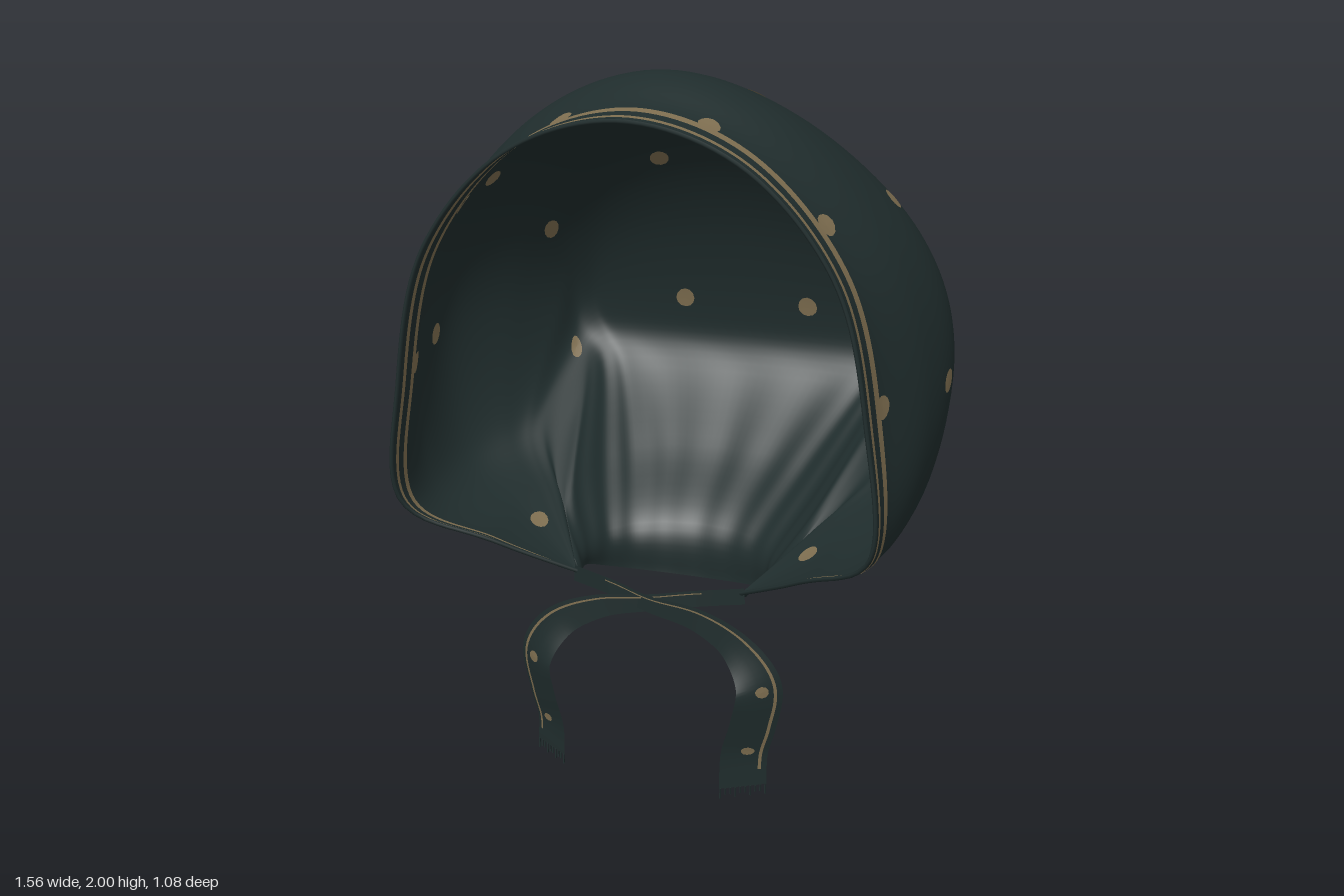
import * as THREE from 'three';

const cloth = new THREE.MeshStandardMaterial({ name: 'dark green cloth', color: 0x1f2c2c, side: THREE.DoubleSide });
const tan = new THREE.MeshStandardMaterial({ name: 'tan print', color: 0x7d6d4f, side: THREE.DoubleSide });

// Arches from knot to knot over the head, ordered face edge -> back -> neck rim:
// lower corner x y z, side x y z, top y z, roundness (1 = ellipse, less = squarer)
const KNOT = [0.25, 0.57, 0.27];
const ARCHES = [
  [.675, .82, .52, .66, 1.15, .53, 1.90, .53, 1],
  [.68, .80, .43, .675, 1.15, .41, 1.925, .41, 1.04],
  [.70, .81, .27, .75, 1.20, .22, 2.00, .22, 1.1],
  [.70, .84, .08, .77, 1.24, 0, 1.94, 0, 1.08],
  [.63, .86, -.08, .67, 1.22, -.25, 1.75, -.28, .9],
  [.59, .87, -.15, .605, 1.17, -.40, 1.50, -.45, .7],
  [.55, .86, -.17, .57, 1.06, -.44, 1.20, -.53, .42],
  [.47, .78, -.08, .49, .96, -.36, 1.02, -.51, .5],
  [.36, .65, .11, .38, .73, -.02, .80, -.31, .75],
  [.28, .58, .20, .29, .59, .11, .62, -.09, .95],
  [.26, .55, .21, .28, .53, .12, .46, -.06, 1],
];
const ROWS = ARCHES.map(([cx, cy, cz, sx, sy, sz, ty, tz, e]) => {
  const corner = [cx, cy, cz];
  const half = [KNOT, KNOT.map((k, i) => (k + corner[i]) / 2 - (i === 1 ? 0.012 : 0)), corner];
  for (let k = 0; k < 4; k++) {
    const a = k * Math.PI / 6, rise = Math.sin(a) ** e;
    half.push([k === 3 ? 0 : sx * Math.cos(a) ** e, sy + (ty - sy) * rise, sz + (tz - sz) * rise]);
  }
  return [...half, ...half.slice(0, -1).reverse().map(([x, y, z]) => [-x, y, z])];
});
const S = ROWS.length - 1, T = ROWS[0].length - 1;

const spline = (a, b, c, d, t) =>
  0.5 * (2 * b + (c - a) * t + (2 * a - 5 * b + 4 * c - d) * t * t + (3 * b - a - 3 * c + d) * t * t * t);

// Smooth point at position u along a list of points
function along(list, u) {
  const n = list.length - 1, i = Math.min(Math.floor(u), n - 1);
  const [a, b, c, d] = [i - 1, i, i + 1, i + 2].map((k) => list[Math.max(0, Math.min(n, k))]);
  return [0, 1, 2].map((k) => spline(a[k], b[k], c[k], d[k], u - i));
}

// Point on the hood, with soft gathers where the cloth narrows to the neck
function hood(s, t) {
  s = Math.max(0, Math.min(S, s));
  t = Math.max(0, Math.min(T, t));
  const [x, y, z] = along(ROWS.map((r) => along(r, t)), s);
  const w = Math.max(0, 1 - Math.abs(s - 8.4) / 1.6) * Math.sin(Math.PI * t / T);
  const f = 1 + 0.014 * w * Math.cos((t - T / 2) * 9);
  return new THREE.Vector3(x * f, y, 0.1 + (z - 0.1) * f);
}

// Surface directions and normal of the hood
function frame(s, t) {
  const e = 0.02;
  const ds = hood(s + e, t).sub(hood(s - e, t)).divideScalar(2 * e);
  const dt = hood(s, t + e).sub(hood(s, t - e)).divideScalar(2 * e);
  return { ds, dt, n: new THREE.Vector3().crossVectors(ds, dt).normalize() };
}

// Grid surface from a rule f(i, j) giving a Vector3
function grid(ni, nj, f) {
  const pos = [], index = [];
  for (let i = 0; i <= ni; i++) for (let j = 0; j <= nj; j++) pos.push(...f(i / ni, j / nj).toArray());
  for (let i = 0; i < ni; i++) for (let j = 0; j < nj; j++) {
    const a = i * (nj + 1) + j, b = a + nj + 1;
    index.push(a, b, a + 1, b, b + 1, a + 1);
  }
  const g = new THREE.BufferGeometry();
  g.setAttribute('position', new THREE.Float32BufferAttribute(pos, 3));
  g.setIndex(index);
  g.computeVertexNormals();
  return g;
}

export function createModel() {
  const model = new THREE.Group();
  model.name = 'headscarf';
  const add = (name, geo, mat, parent = model) => {
    const m = new THREE.Mesh(geo, mat);
    m.name = name;
    parent.add(m);
    return m;
  };

  // Hood shell and the hem around the face
  add('hood', grid(80, 144, (i, j) => hood(i * S, j * T)), cloth);
  const hemPath = new THREE.CatmullRomCurve3(Array.from({ length: 49 }, (_, i) => hood(0, i / 48 * T)));
  add('faceHem', new THREE.TubeGeometry(hemPath, 120, 0.006, 6), cloth);

  // Two printed stripes behind the hem, on both sides of the cloth
  for (const [s0, s1] of [[0.3, 0.46], [0.72, 0.9]]) for (const side of [1, -1]) {
    add('borderStripe', grid(2, 144, (i, j) => {
      const s = s0 + (s1 - s0) * i, t = 0.4 + (T - 0.8) * j;
      return hood(s, t).addScaledVector(frame(s, t).n, 0.003 * side);
    }), tan);
  }

  // Printed spots, placed at the surface point nearest each target
  const samples = [];
  for (let s = 0; s <= S; s += 0.08) for (let t = 0.4; t <= T / 2; t += 0.04) samples.push([s, t, hood(s, t)]);
  const spots = [
    [.21, 1.72, -.325], [.21, 1.93, .05], [.60, 1.68, .05], [.62, 1.47, -.355], [.77, 1.19, .10],
    [.54, 1.06, -.43], [.205, 1.23, -.53], [.20, 1.89, .415], [.53, 1.66, .415], [.68, 1.20, .415], [.44, .62, .15],
  ];
  for (const p of spots) {
    const target = new THREE.Vector3(...p);
    const [s, t] = samples.reduce((a, b) => (b[2].distanceToSquared(target) < a[2].distanceToSquared(target) ? b : a));
    for (const tt of [t, T - t]) for (const side of [1, -1]) {
      const { ds, dt } = frame(s, tt);
      add('spot', grid(2, 12, (i, j) => {
        const a = j * Math.PI * 2, r = 0.031 * i;
        const u = s + r * Math.cos(a) / ds.length(), v = tt + r * Math.sin(a) / dt.length();
        return hood(u, v).addScaledVector(frame(u, v).n, 0.004 * side);
      }), tan);
    }
  }

  // Crossed ties: each starts at one knot and hangs on the other side
  for (const side of [1, -1]) {
    const tie = new THREE.Group();
    tie.name = side > 0 ? 'leftTie' : 'rightTie';
    model.add(tie);
    const drop = side > 0 ? 0 : 0.02, lift = side > 0 ? 0.012 : 0;
    const path = new THREE.CatmullRomCurve3([
      [-.26, .56, .265], [-.12, .55, .31], [0, .53, .33 + lift], [.15, .505, .35], [.27, .445, .365],
      [.338, .34, .37], [.322, .22, .37], [.298, .13, .37], [.296, .03 + drop, .375],
    ].map(([x, y, z]) => new THREE.Vector3(x * side, y, z)));
    // across: -1..1 over the width, out: distance off the cloth
    const ribbon = (u, across, out) => {
      const c = path.getPoint(u), d = path.getTangent(u);
      const half = 0.024 + 0.034 * THREE.MathUtils.smoothstep(u, 0.2, 0.65);
      const w = new THREE.Vector3(-d.y, d.x, 0).normalize().multiplyScalar(half);
      w.z = -side * 0.038 * THREE.MathUtils.smoothstep(u, 0.45, 0.7);
      const n = new THREE.Vector3().crossVectors(d, w).normalize();
      return c.addScaledVector(w, across).addScaledVector(n, out);
    };
    add('tieRibbon', grid(64, 4, (i, j) => ribbon(i, j * 2 - 1, 0)), cloth, tie);
    for (const face of [0.004, -0.004]) {
      add('tieStripe', grid(64, 1, (i, j) => ribbon(0.1 + i * 0.84, side * (0.6 + j * 0.14), face)), tan, tie);
      for (const u of [0.64, 0.86]) {
        add('tieSpot', grid(1, 10, (i, j) => {
          const a = j * Math.PI * 2;
          return ribbon(u + 0.017 * i * Math.cos(a), 0.3 * i * Math.sin(a) + 0.1 * side, face);
        }), tan, tie);
      }
    }
    // Fringe threads at the tail end
    for (let k = 0; k < 10; k++) {
      const top = ribbon(1, -0.95 + k * 1.9 / 9, 0), len = k % 3 === 0 ? 0.03 : 0.02;
      add('fringeThread', new THREE.BoxGeometry(0.004, len, 0.004), cloth, tie)
        .position.set(top.x, top.y - len / 2, top.z);
    }
  }
  return model;
}
